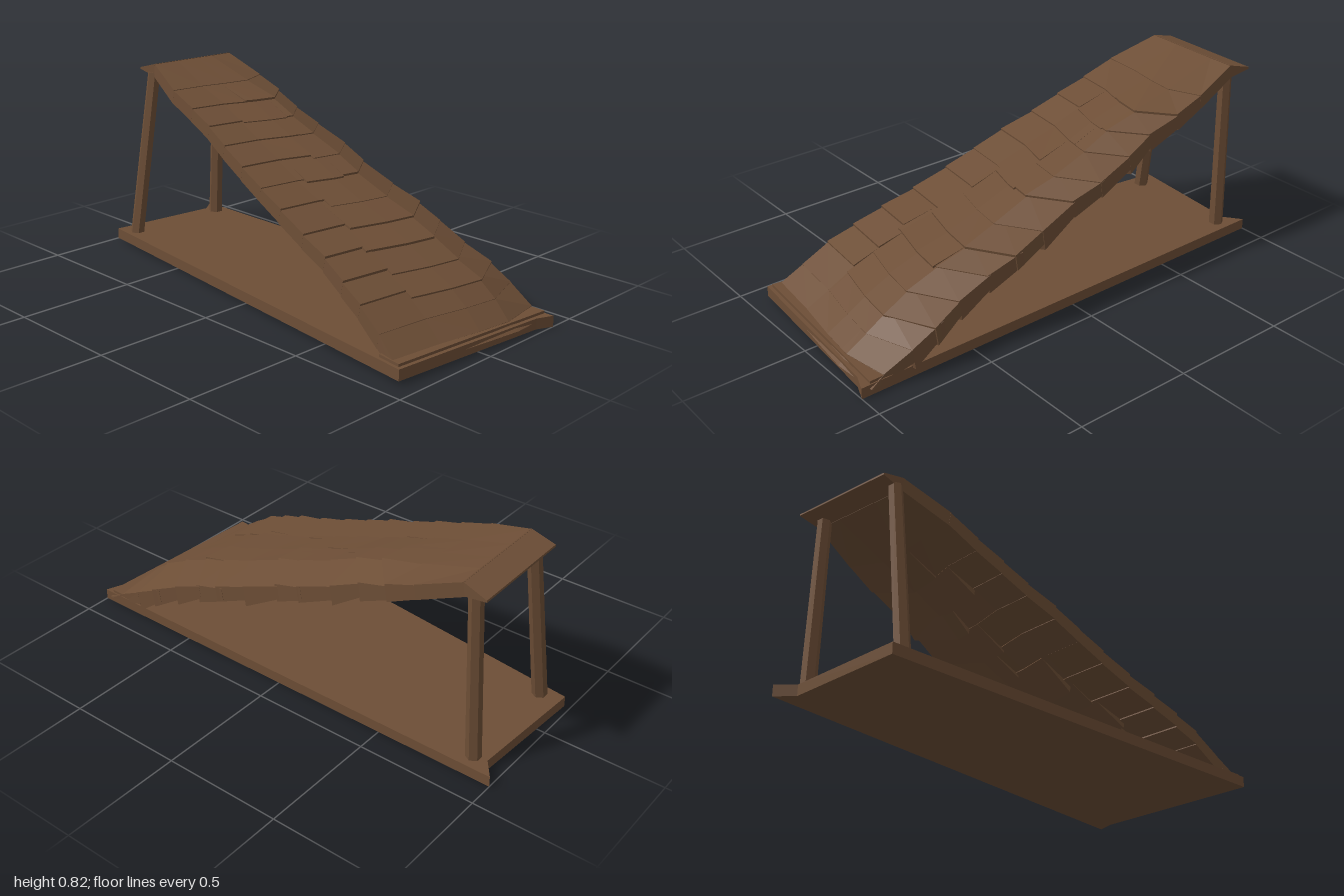
import * as THREE from 'three';

const wood = new THREE.MeshStandardMaterial({ color: 0x6d4e36 });
wood.name = 'brown wood';
wood.flatShading = true;

// Front edge of the ramp, from the high end down: x, y, z
const EDGE = [
  [-0.94, 0.79, 0.05], [-0.84, 0.818, 0.05], [-0.64, 0.74, 0.11], [-0.5, 0.685, 0.125],
  [-0.37, 0.635, 0.145], [-0.25, 0.58, 0.17], [-0.11, 0.525, 0.2], [0.02, 0.47, 0.22],
  [0.15, 0.415, 0.24], [0.3, 0.355, 0.265], [0.44, 0.305, 0.29], [0.56, 0.25, 0.32],
  [0.67, 0.2, 0.345], [0.78, 0.13, 0.365], [0.87, 0.065, 0.39], [0.91, 0.035, 0.4],
];
const LAST = EDGE.length - 1;
const STEPS = [0, 0.3, 0.55, 0.75, 1];          // stations from front to back
const BOW = [0, 0.02, 0.065, 0.085, -0.025];    // how far each course bows downhill
const lerp = THREE.MathUtils.lerp;

let seed = 11;
function rand() {
  seed = (seed * 16807) % 2147483647;
  return seed / 2147483647;
}

// Point on the ramp surface: s counts courses downhill, t runs front to back
function surface(s, t) {
  const k = Math.min(Math.floor(s), LAST - 1), f = s - k;
  const [x, y, z] = EDGE[k].map((v, i) => lerp(v, EDGE[k + 1][i], f));
  let i = 0;
  while (i < STEPS.length - 2 && t > STEPS[i + 1]) i++;
  const bow = lerp(BOW[i], BOW[i + 1], (t - STEPS[i]) / (STEPS[i + 1] - STEPS[i]));
  const amount = s < 1 ? 0 : s < 3 ? (s - 1) * 0.5 : s > 12 ? Math.max(0.25, 1 - (s - 12) * 0.3) : 1;
  const foot = Math.max(0, s - 12) / 3 * 0.06 * t;
  const back = -0.397 + 0.012 * Math.sin(s * 1.9);
  return new THREE.Vector3(x + bow * amount + foot, y - 0.008 * t, lerp(z, back, t));
}

// Closed slab between two rows of top points, with depths below each row
function slab(rowA, rowB, depthA, depthB) {
  const pos = [];
  const down = (p, d) => new THREE.Vector3(p.x - d * 0.15, Math.max(p.y - d, 0.025), p.z);
  const quad = (a, b, c, d) => [a, b, c, a, c, d].forEach(p => pos.push(p.x, p.y, p.z));
  const lowA = rowA.map(p => down(p, depthA)), lowB = rowB.map(p => down(p, depthB));
  const n = rowA.length - 1;
  for (let i = 0; i < n; i++) {
    quad(rowA[i], rowB[i], rowB[i + 1], rowA[i + 1]);
    quad(lowA[i], lowA[i + 1], lowB[i + 1], lowB[i]);
    quad(rowB[i], lowB[i], lowB[i + 1], rowB[i + 1]);
    quad(rowA[i + 1], lowA[i + 1], lowA[i], rowA[i]);
  }
  quad(rowA[0], lowA[0], lowB[0], rowB[0]);
  quad(rowA[n], rowB[n], lowB[n], lowA[n]);
  const g = new THREE.BufferGeometry();
  g.setAttribute('position', new THREE.Float32BufferAttribute(pos, 3));
  g.computeVertexNormals();
  return g;
}

function add(parent, name, geometry) {
  const mesh = new THREE.Mesh(geometry, wood);
  mesh.name = name;
  parent.add(mesh);
  return mesh;
}

// Tapered beam between two points
function post(parent, name, from, to) {
  const a = new THREE.Vector3(...from), b = new THREE.Vector3(...to);
  const mesh = add(parent, name, new THREE.CylinderGeometry(0.028, 0.031, a.distanceTo(b), 6));
  mesh.position.copy(a).add(b).multiplyScalar(0.5);
  mesh.quaternion.setFromUnitVectors(new THREE.Vector3(0, 1, 0), b.sub(a).normalize());
}

// Flat plate from an x,z outline, tilting slightly down to the back
function plate(outline, y, height) {
  const shape = new THREE.Shape(outline.map(([x, z]) => new THREE.Vector2(x, -z)));
  const g = new THREE.ExtrudeGeometry(shape, { depth: height, bevelEnabled: false });
  g.rotateX(-Math.PI / 2);
  const p = g.attributes.position;
  for (let i = 0; i < p.count; i++) p.setY(i, p.getY(i) + y + (p.getZ(i) + 0.39) * 0.015);
  g.computeVertexNormals();
  return g;
}

export function createModel() {
  const model = new THREE.Group();
  model.name = 'wooden ramp';

  // Ground board with splintered back corners
  add(model, 'baseBoard', plate([
    [-0.98, 0.18], [0.92, 0.415], [0.972, -0.32], [1, -0.39], [-1, -0.39], [-0.945, -0.32],
  ], 0, 0.045));

  // Low sill at the foot of the ramp
  add(model, 'footSill', plate([[0.8, 0.385], [0.905, 0.4], [0.96, -0.385], [0.84, -0.385]], 0.04, 0.016));

  // Props under the high end
  post(model, 'frontPost', [-0.89, 0.04, 0.14], [-0.863, 0.775, 0.035]);
  post(model, 'backPost', [-0.89, 0.04, -0.33], [-0.863, 0.775, -0.34]);

  // Overlapping courses of planks
  const ramp = new THREE.Group();
  ramp.name = 'rampPlanks';
  model.add(ramp);
  for (let k = 0; k < LAST; k++) {
    const end = k === 0 || k > 11;
    const cuts = k < 2 || k > 13 ? [0, 1] : k % 3 ? [0, 0.3 + rand() * 0.4, 1]
      : [0, 0.25 + rand() * 0.12, 0.62 + rand() * 0.15, 1];
    for (let c = 0; c < cuts.length - 1; c++) {
      const t0 = cuts[c], t1 = cuts[c + 1];
      const ts = [t0, ...STEPS.filter(t => t > t0 + 0.01 && t < t1 - 0.01), t1];
      const over = end || c === 0 ? 0.02 : rand() * 0.3;
      const lift = end ? 0.002 : 0.003 + rand() * 0.008;
      const rowA = ts.map(t => surface(k, t));
      const rowB = ts.map(t => surface(Math.min(k + 1 + over, LAST), t).add(new THREE.Vector3(0, lift, 0)));
      const depth = c === 0 ? 0.06 : 0.06 + rand() * 0.03;
      add(ramp, 'plank', slab(rowA, rowB, k === 0 ? 0.008 : 0.056, k === 0 ? 0.056 : depth));
    }
  }
  return model;
}
